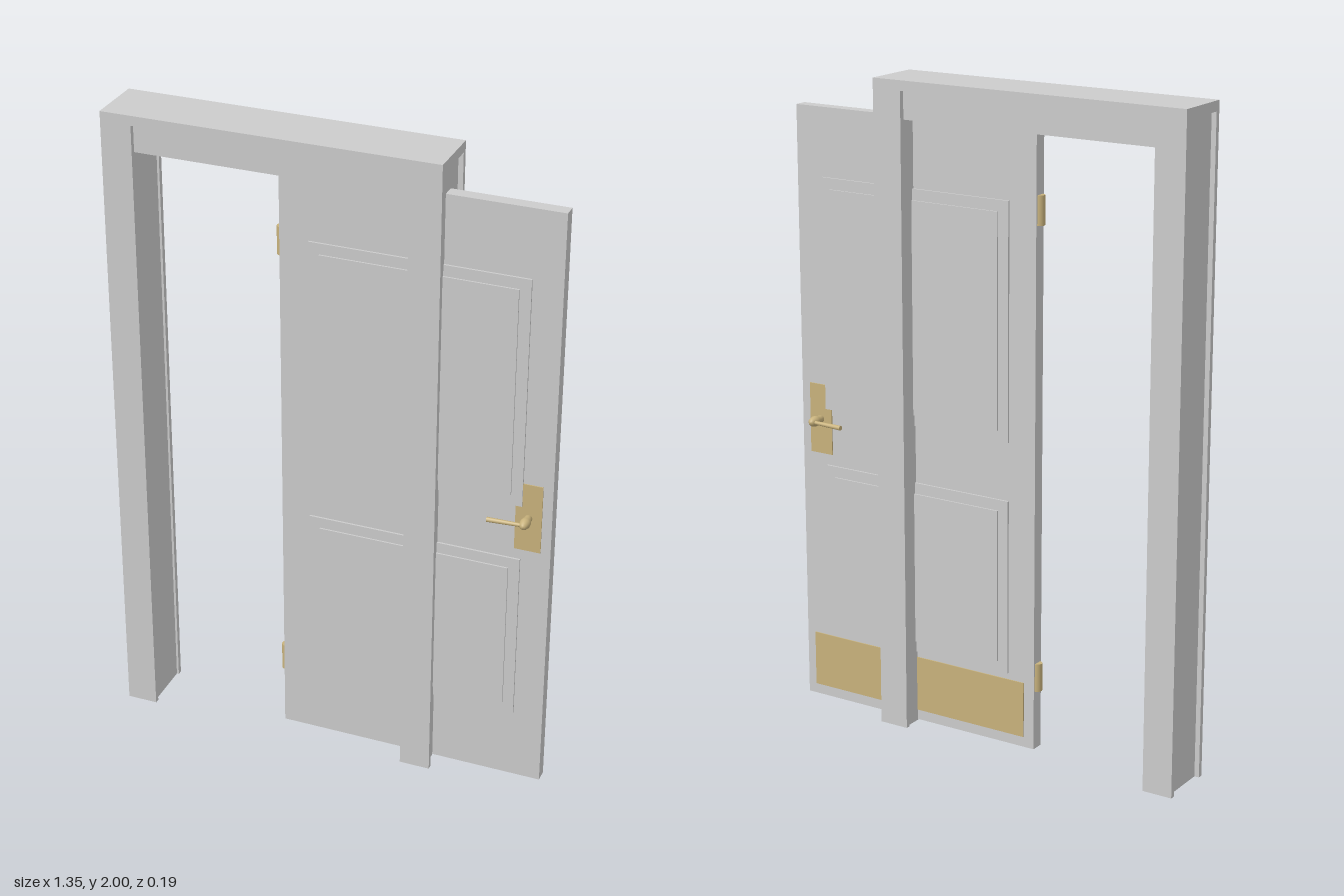
import * as THREE from 'three';

const paint = new THREE.MeshStandardMaterial({ color: 0xcccccc });
paint.name = 'grey paint';
const brass = new THREE.MeshStandardMaterial({ color: 0xc8b27c });
brass.name = 'brass';

// Box given by its limits on each axis
function box(parent, name, material, [x0, x1], [y0, y1], [z0, z1]) {
  const mesh = new THREE.Mesh(new THREE.BoxGeometry(x1 - x0, y1 - y0, z1 - z0), material);
  mesh.position.set((x0 + x1) / 2, (y0 + y1) / 2, (z0 + z1) / 2);
  mesh.name = name;
  parent.add(mesh);
  return mesh;
}

function createFrame() {
  const frame = new THREE.Group();
  frame.name = 'doorFrame';
  const depth = 0.0925, core = 0.077, height = 1.97;
  const left = [0.249, 0.344], right = [-0.677, -0.582];

  box(frame, 'topCap', paint, [-0.677, 0.344], [height, 2], [-depth, depth]);
  box(frame, 'lintel', paint, [-0.59, 0.257], [1.885, height], [-core, core]);

  // Each post is a recessed core between a front and a back casing
  for (const [side, [x0, x1], inner] of [['left', left, -1], ['right', right, 1]]) {
    const coreX = inner < 0 ? [x0 + 0.007, x1 - 0.015] : [x0 + 0.015, x1 - 0.007];
    box(frame, side + 'Jamb', paint, coreX, [0, height], [-core, core]);
    box(frame, side + 'FrontCasing', paint, [x0, x1], [0, height], [core, depth]);
    box(frame, side + 'BackCasing', paint, [x0, x1], [0, height], [-depth, -core]);
  }
  return frame;
}

function createHandle() {
  const handle = new THREE.Group();
  handle.name = 'leverHandle';

  // Swelling spindle, turned along z
  const profile = [[0, 0], [0.011, 0], [0.012, 0.022], [0.0155, 0.036], [0.016, 0.046], [0.012, 0.06], [0.006, 0.066], [0, 0.067]]
    .map(([r, h]) => new THREE.Vector2(r, h));
  const spindle = new THREE.Mesh(new THREE.LatheGeometry(profile, 20), brass);
  spindle.rotation.x = Math.PI / 2;
  spindle.position.z = 0.012;
  spindle.name = 'spindle';
  handle.add(spindle);

  // Lever reaching towards the hinges, drifting slightly outwards
  const lever = new THREE.Mesh(new THREE.CylinderGeometry(0.0075, 0.0055, 0.11, 14), brass);
  lever.rotation.set(0, 0.06, Math.PI / 2);
  lever.position.set(-0.055, 0, 0.07);
  lever.name = 'lever';
  handle.add(lever);
  return handle;
}

function createDoor() {
  const door = new THREE.Group();
  door.name = 'door';
  box(door, 'doorLeaf', paint, [-0.165, 0.675], [0.002, 1.885], [-0.02, 0.02]);

  // Stepped raised panels on both faces
  for (const [name, y0, y1] of [['upper', 0.955, 1.675], ['lower', 0.23, 0.775]]) {
    box(door, name + 'PanelBorder', paint, [-0.075, 0.585], [y0, y1], [-0.026, 0.026]);
    box(door, name + 'PanelField', paint, [-0.041, 0.551], [y0 + 0.034, y1 - 0.034], [-0.031, 0.031]);
  }

  // Lock plates and handles, front and back
  box(door, 'lockPlateFront', brass, [0.565, 0.645], [0.81, 1.03], [0.0195, 0.0235]);
  box(door, 'lockPlateBack', brass, [0.565, 0.645], [0.81, 1.03], [-0.0235, -0.0195]);
  const front = createHandle();
  front.position.set(0.605, 0.92, 0);
  const back = createHandle();
  back.position.copy(front.position);
  // Half turn about x mirrors the symmetrical handle to the back
  back.rotation.x = Math.PI;
  door.add(front, back);

  box(door, 'kickPlate', brass, [-0.13, 0.645], [0.035, 0.21], [-0.0235, -0.0195]);

  // Hinge barrels
  for (const y of [0.232, 1.655]) {
    const hinge = new THREE.Mesh(new THREE.CylinderGeometry(0.015, 0.015, 0.088, 20), brass);
    hinge.position.set(-0.165, y, 0);
    hinge.name = 'hinge';
    door.add(hinge);
  }
  return door;
}

export function createModel() {
  const model = new THREE.Group();
  model.name = 'slidDoorWithFrame';
  model.add(createFrame(), createDoor());
  return model;
}
